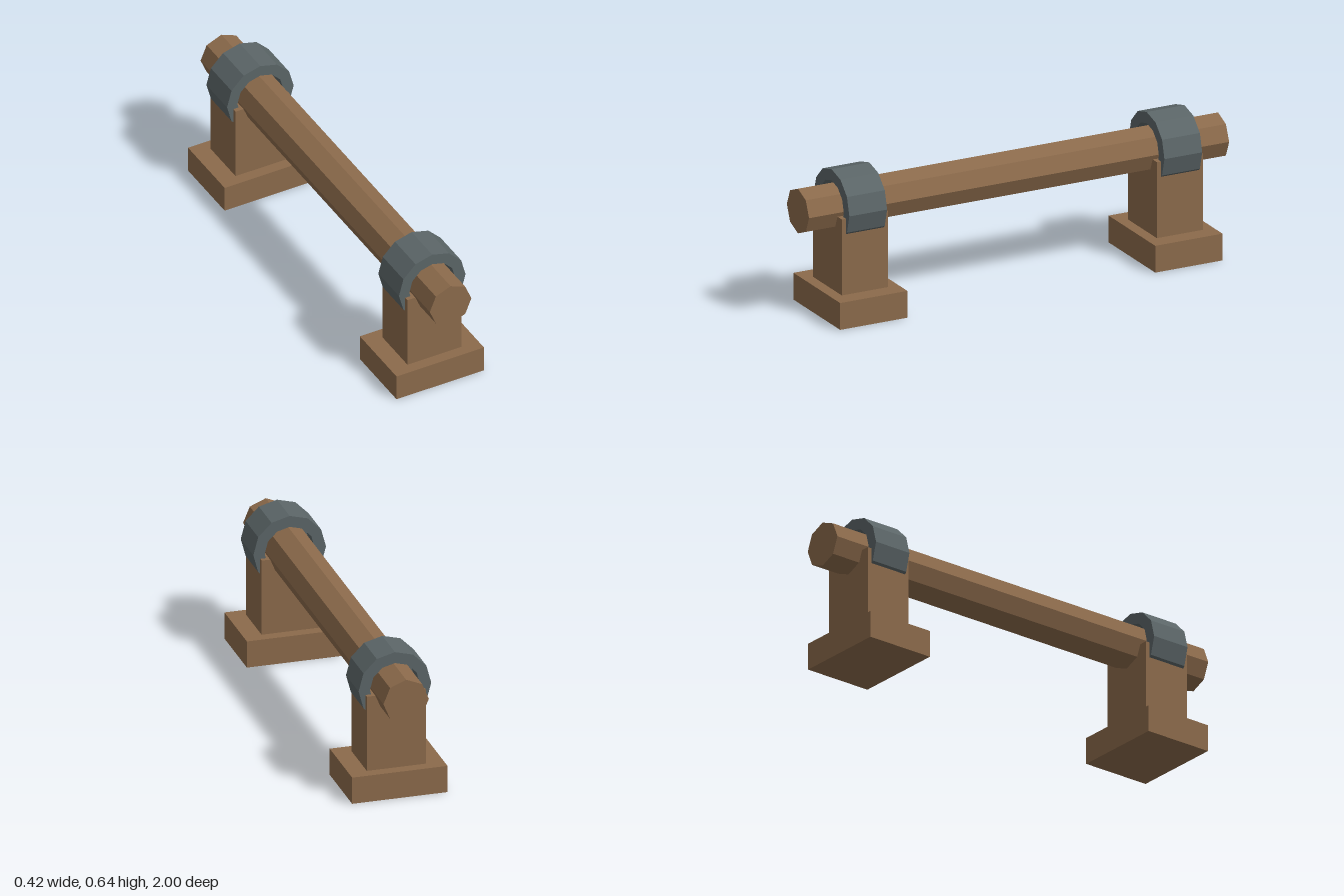
import * as THREE from 'three';

const wood = new THREE.MeshStandardMaterial({ color: 0x8b6a4b, flatShading: true });
const iron = new THREE.MeshStandardMaterial({ color: 0x5b6567, flatShading: true });

function add(parent, name, geometry, material, y, z = 0) {
  const mesh = new THREE.Mesh(geometry, material);
  mesh.name = name;
  mesh.position.set(0, y, z);
  parent.add(mesh);
  return mesh;
}

export function createModel() {
  const model = new THREE.Group();
  model.name = 'beamOnStands';
  const axisY = 0.48;

  // Octagonal beam lying along z
  add(model, 'beam', new THREE.CylinderGeometry(0.1, 0.1, 2, 8).rotateX(Math.PI / 2), wood, axisY);

  // Twelve-sided iron collar, with a thin inner web gripping the beam
  const profile = [
    [0.16, -0.09], [0.16, 0.09], [0.11, 0.09], [0.11, 0.01],
    [0.085, 0.01], [0.085, -0.01], [0.11, -0.01], [0.11, -0.09], [0.16, -0.09],
  ].map(([r, h]) => new THREE.Vector2(r, h));
  const collar = new THREE.LatheGeometry(profile, 12).rotateX(Math.PI / 2);

  // Matching stands near both ends
  for (const side of [1, -1]) {
    const stand = new THREE.Group();
    stand.name = side > 0 ? 'frontStand' : 'backStand';
    stand.position.z = side * 0.75;
    add(stand, 'foot', new THREE.BoxGeometry(0.42, 0.12, 0.32), wood, 0.06);
    add(stand, 'post', new THREE.BoxGeometry(0.26, 0.34, 0.22), wood, 0.29);
    add(stand, 'collar', collar, iron, axisY);
    model.add(stand);
  }
  return model;
}
